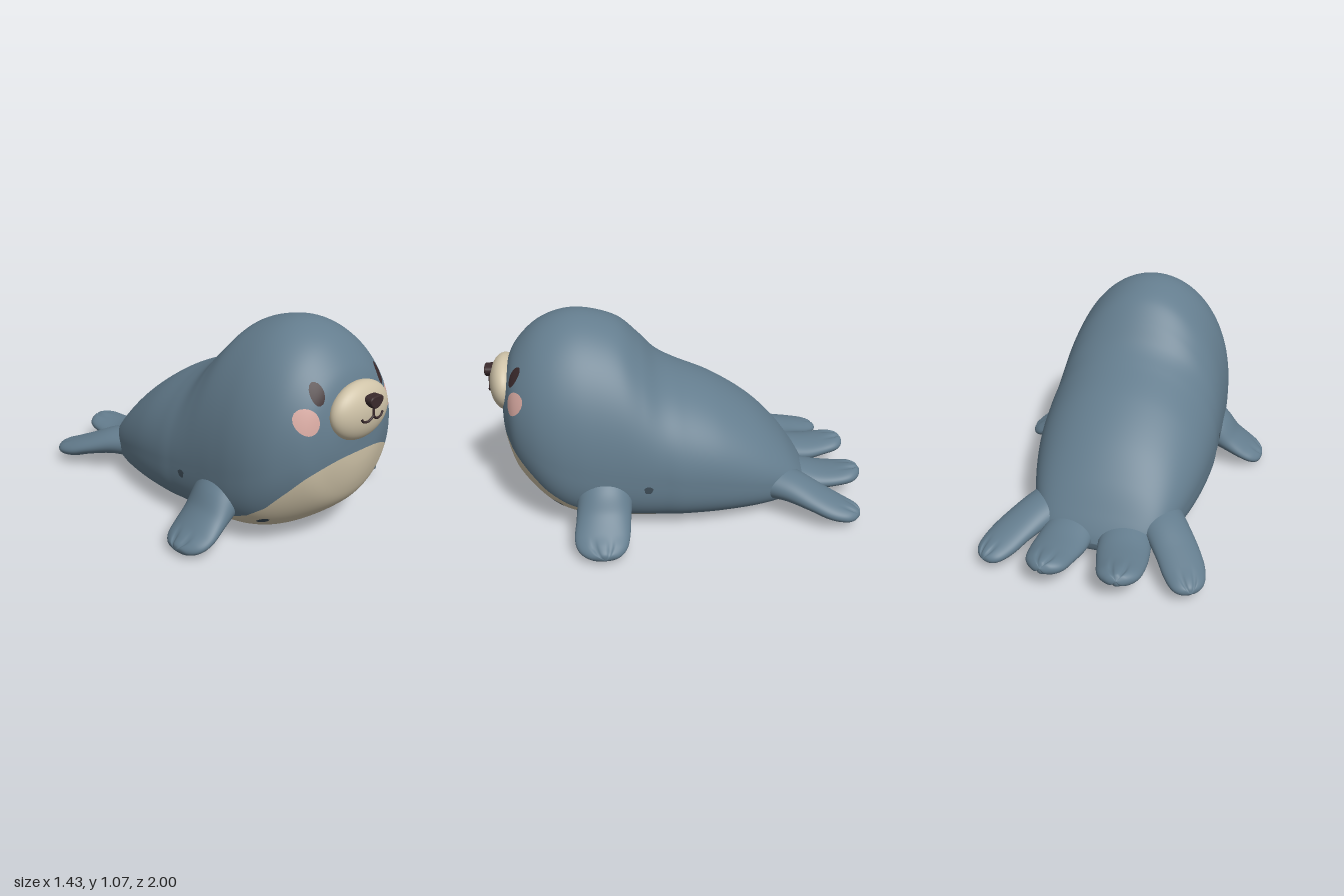
import * as THREE from 'three';
import { mergeVertices } from 'three/addons/utils/BufferGeometryUtils.js';

const mat = (name, color) => Object.assign(new THREE.MeshStandardMaterial({ color }), { name });

// Smooth interpolation through rows of numbers, u in 0..1
function sample(rows, u) {
  const s = u * (rows.length - 1), i = Math.min(Math.floor(s), rows.length - 2), f = s - i;
  const a = rows[Math.max(i - 1, 0)], b = rows[i], c = rows[i + 1], d = rows[Math.min(i + 2, rows.length - 1)];
  return b.map((p, k) => p + 0.5 * f * (c[k] - a[k] + f * (2 * a[k] - 5 * p + 4 * c[k] - d[k]
    + f * (3 * (p - c[k]) + d[k] - a[k]))));
}

// Closed surface from rings; point(u, angle) returns [x, y, z]
function loft(rings, sides, point) {
  const pos = [], index = [];
  for (let i = 0; i <= rings; i++) {
    for (let j = 0; j < sides; j++) pos.push(...point(i / rings, j / sides * Math.PI * 2));
  }
  for (let i = 0; i < rings; i++) {
    for (let j = 0; j < sides; j++) {
      const k = (j + 1) % sides, a = i * sides, b = a + sides;
      index.push(a + j, b + j, b + k, a + j, b + k, a + k);
    }
  }
  const g = new THREE.BufferGeometry();
  g.setAttribute('position', new THREE.Float32BufferAttribute(pos, 3));
  g.setIndex(index);
  const merged = mergeVertices(g, 1e-5);
  merged.computeVertexNormals();
  return merged;
}

// Cut triangles along f = 0, returning [inside, outside]
function split(tris, f) {
  const inside = [], outside = [];
  for (const t of tris) {
    const v = t.map(f);
    if (v.every(n => n >= 0)) { inside.push(t); continue; }
    if (v.every(n => n < 0)) { outside.push(t); continue; }
    for (const [list, sign] of [[inside, 1], [outside, -1]]) {
      const poly = [];
      t.forEach((p, i) => {
        const j = (i + 1) % 3, q = t[j];
        if (v[i] * sign >= 0) poly.push(p);
        if (v[i] * v[j] < 0) {
          const m = v[i] / (v[i] - v[j]);
          poly.push(p.map((n, k) => n + (q[k] - n) * m));
        }
      });
      for (let i = 1; i + 1 < poly.length; i++) list.push([poly[0], poly[i], poly[i + 1]]);
    }
  }
  return [inside, outside];
}

function soup(tris) {
  const g = new THREE.BufferGeometry(), verts = tris.flat();
  g.setAttribute('position', new THREE.Float32BufferAttribute(verts.flatMap(v => v.slice(0, 3)), 3));
  g.setAttribute('normal', new THREE.Float32BufferAttribute(verts.flatMap(v => v.slice(3)), 3));
  return g;
}

// Body sections: z, top, bottom, half width, height of widest point, lower squareness
const BODY = [
  [.918, .56, .56, 0, .56, 2], [.912, .70, .42, .14, .55, 2], [.885, .80, .30, .235, .54, 2],
  [.84, .895, .21, .325, .52, 2.1], [.75, .99, .125, .405, .47, 2.4], [.65, 1.045, .065, .452, .43, 2.8],
  [.54, 1.067, .032, .474, .40, 3.1], [.42, 1.052, .015, .48, .37, 3.2], [.30, 1.005, .008, .48, .35, 3.2],
  [.20, .912, .004, .48, .33, 3.2], [.11, .815, .002, .48, .32, 3.2], [0, .748, 0, .48, .30, 3.2],
  [-.2, .655, 0, .457, .27, 3.2], [-.4, .522, .006, .41, .22, 3.1], [-.55, .375, .016, .35, .18, 2.9],
  [-.65, .24, .033, .28, .14, 2.6], [-.70, .16, .06, .18, .11, 2.2], [-.72, .11, .11, 0, .11, 2],
];
// Height of the belly colour edge along z
const EDGE = [[-.72, .0], [-.66, .04], [-.4, .047], [0, .066], [.25, .09], [.45, .12], [.6, .18],
  [.7, .25], [.8, .36], [.85, .42], [.912, .49], [.93, .51]];
function edgeHeight(z) {
  let i = 0;
  while (i < EDGE.length - 2 && z > EDGE[i + 1][0]) i++;
  const [a, b] = [EDGE[i], EDGE[i + 1]];
  return a[1] + (b[1] - a[1]) * (z - a[0]) / (b[0] - a[0]);
}

// Flipper sections: x, y, z, half width, half thickness
const FRONT = [[.36, .27, .41, .15, .11], [.44, .21, .41, .14, .1], [.52, .145, .42, .137, .067],
  [.6, .09, .43, .137, .05], [.66, .057, .43, .118, .042], [.7, .039, .425, .07, .028], [.713, .033, .42, 0, 0]];
const OUTER = [[.24, .17, -.45, .13, .1], [.33, .16, -.58, .115, .075], [.41, .125, -.7, .11, .056],
  [.46, .093, -.79, .105, .05], [.492, .077, -.86, .085, .04], [.508, .07, -.895, .05, .025], [.514, .067, -.908, 0, 0]];
const INNER = [[.13, .14, -.5, .13, .09], [.14, .13, -.63, .13, .075], [.155, .12, -.75, .13, .06],
  [.17, .125, -.85, .12, .05], [.178, .135, -.94, .1, .045], [.182, .145, -.985, .055, .03], [.183, .15, -1, 0, 0]];

function flipper(rows, side, across) {
  const W = new THREE.Vector3(across[0] * side, across[1], across[2]).normalize();
  const at = u => { const r = sample(rows, u); r[0] *= side; return r; };
  return loft(44, 56, (u, a) => {
    const r = at(u), p = new THREE.Vector3(...r);
    const D = new THREE.Vector3(...at(Math.min(u + .02, 1))).sub(new THREE.Vector3(...at(Math.max(u - .02, 0)))).normalize();
    const T = new THREE.Vector3().crossVectors(W, D).normalize();
    // two shallow grooves between the toes
    const c = Math.cos(a), dent = Math.exp(-(((Math.abs(c) - .33) / .09) ** 2));
    const thick = r[4] * (1 - .3 * dent * THREE.MathUtils.smoothstep(u, .5, .75));
    return p.addScaledVector(W, r[3] * c).addScaledVector(T, thick * Math.sin(a)).toArray();
  });
}

export function createModel() {
  const blue = mat('blue skin', 0x647d8e), cream = mat('cream', 0xcfc3a8), dark = mat('dark brown', 0x3a2a2c);
  const pink = mat('pink', 0xd9aaa2), shade = mat('deep blue', 0x3e4d58);
  const model = new THREE.Group();
  const add = (name, geometry, material) => {
    const m = new THREE.Mesh(geometry, material);
    m.name = name;
    model.add(m);
    return m;
  };

  // Body, divided into coloured areas
  const pw = (v, n) => Math.sign(v) * Math.abs(v) ** (2 / n);
  const g = loft(150, 128, (u, a) => {
    const [z, top, bottom, w, mid, n] = sample(BODY, u), c = Math.cos(a), s = Math.sin(a);
    const e = s < 0 ? n : 2;
    return [w * pw(c, e), mid + (s < 0 ? mid - bottom : top - mid) * pw(s, e), z];
  });
  const P = g.attributes.position, N = g.attributes.normal, ix = g.index.array;
  const vertex = i => [P.getX(i), P.getY(i), P.getZ(i), N.getX(i), N.getY(i), N.getZ(i)];
  let rest = [];
  for (let i = 0; i < ix.length; i += 3) rest.push([vertex(ix[i]), vertex(ix[i + 1]), vertex(ix[i + 2])]);

  const spot = (cx, cy, rx, ry, tilt, zMin) => ([x, y, z]) => {
    if (z < zMin) return -1;
    const dx = Math.abs(x) - cx, dy = y - cy, c = Math.cos(tilt), s = Math.sin(tilt);
    return 1 - Math.hypot((dx * c + dy * s) / rx, (dy * c - dx * s) / ry);
  };
  const areas = [
    ['eyes', dark, spot(.218, .806, .029, .051, .14, .5)],
    ['cheeks', pink, spot(.284, .69, .049, .06, 0, .5)],
    ['sidePores', shade, ([x, y, z]) => 1 - Math.hypot((z - .19) / .026, (y - .27) / .021)],
    ['chestPores', shade, spot(.357, .15, .02, .018, 0, .3)],
    ['bellyPore', blue, ([x, y, z]) => (y > .1 ? -1 : 1 - Math.hypot(x, z + .42) / .022)],
    ['belly', cream, ([x, y, z]) => edgeHeight(z) - y],
  ];
  for (const [name, material, f] of areas) {
    const [inside, outside] = split(rest, f);
    add(name, soup(inside), material);
    rest = outside;
  }
  add('body', soup(rest), blue);

  // Flippers
  for (const side of [1, -1]) {
    const label = side > 0 ? 'left' : 'right';
    add(label + 'FrontFlipper', flipper(FRONT, side, [0, 0, 1]), blue);
    add(label + 'OuterTailFlipper', flipper(OUTER, side, [.86, 0, .5]), blue);
    add(label + 'InnerTailFlipper', flipper(INNER, side, [1, 0, .12]), blue);
  }

  // Muzzle
  const muzzle = add('muzzle', new THREE.SphereGeometry(1, 48, 32), cream);
  muzzle.scale.set(.19, .141, .082);
  muzzle.position.set(0, .695, .898);
  const onMuzzle = (x, y) => new THREE.Vector3(x, y,
    .9 + .082 * Math.sqrt(1 - (x / .19) ** 2 - ((y - .695) / .141) ** 2));

  // Nose: rounded triangle
  const s = new THREE.Shape();
  s.moveTo(0, .733);
  s.bezierCurveTo(.015, .733, .04, .75, .04, .768);
  s.bezierCurveTo(.04, .783, .02, .783, 0, .783);
  s.bezierCurveTo(-.02, .783, -.04, .783, -.04, .768);
  s.bezierCurveTo(-.04, .75, -.015, .733, 0, .733);
  const nose = add('nose', new THREE.ExtrudeGeometry(s, {
    depth: .04, bevelSize: .006, bevelThickness: .008, bevelSegments: 4, curveSegments: 10 }), dark);
  nose.position.z = .952;

  // Mouth lines
  const line = (name, pts) => add(name, new THREE.TubeGeometry(
    new THREE.CatmullRomCurve3(pts.map(p => onMuzzle(...p))), 24, .006, 8), dark);
  line('mouthStem', [[0, .735], [0, .71], [0, .688]]);
  for (const side of [1, -1]) {
    line(side > 0 ? 'leftMouth' : 'rightMouth',
      [[0, .69], [side * .018, .675], [side * .042, .669], [side * .066, .677], [side * .076, .693]]);
  }
  return model;
}
